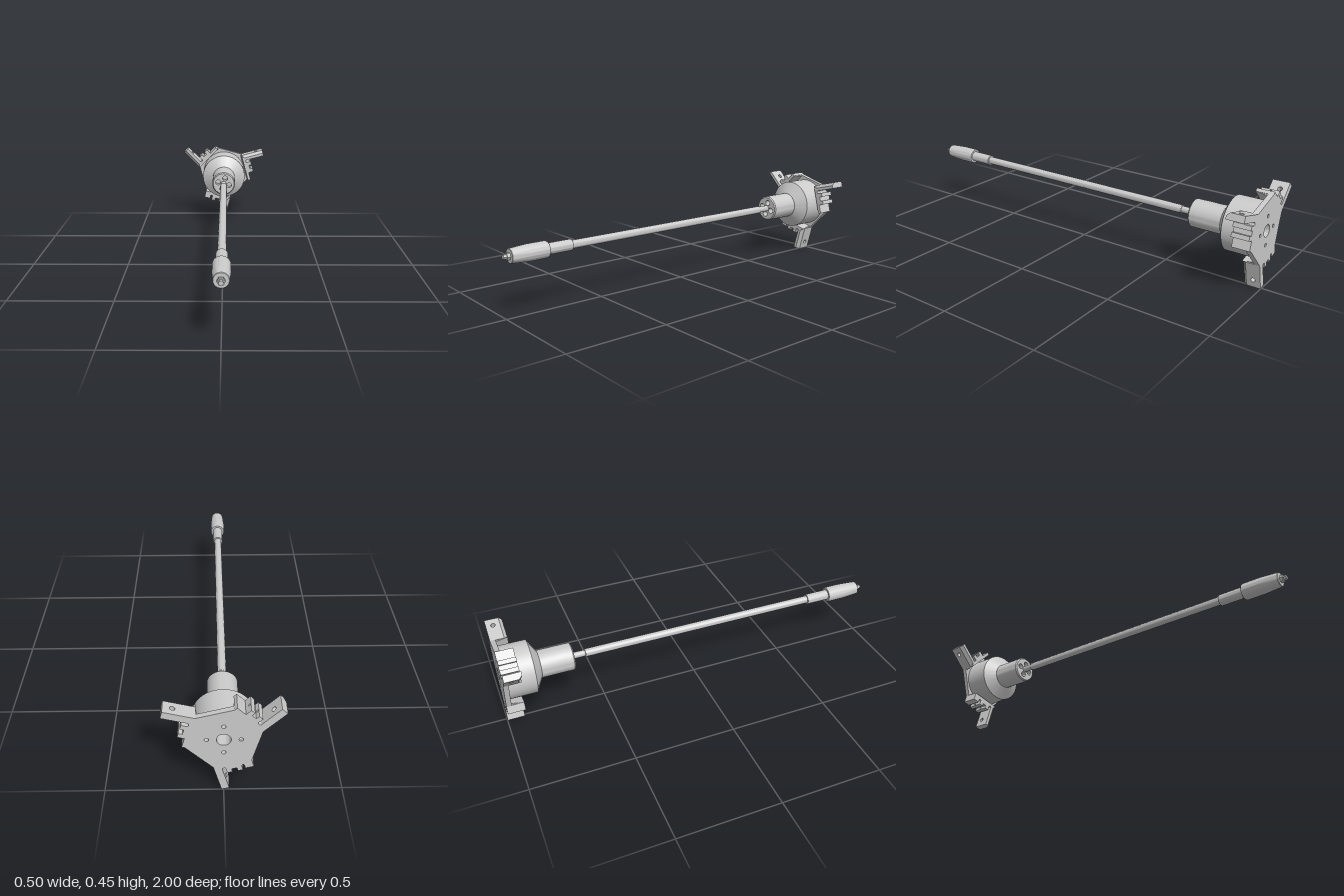
import * as THREE from 'three';
import { toCreasedNormals } from 'three/addons/utils/BufferGeometryUtils.js';

const BACK = -1, PLATE = -0.975, FRONT = -0.915;
const RAD = Math.PI / 180;
const grey = new THREE.MeshStandardMaterial({ color: 0xcccccc, side: THREE.DoubleSide });

function add(parent, name, geometry) {
  const mesh = new THREE.Mesh(toCreasedNormals(geometry, 0.5), grey);
  mesh.name = name;
  parent.add(mesh);
  return mesh;
}

// Turned part along z, from [radius, z] points
function turned(parent, name, profile, sides = 48) {
  const g = new THREE.LatheGeometry(profile.map(([r, z]) => new THREE.Vector2(r, z)), sides);
  return add(parent, name, g.rotateX(Math.PI / 2));
}

function shapeOf(points) {
  return new THREE.Shape(points.map(([x, y]) => new THREE.Vector2(x, y)));
}

function drill(shape, x, y, r) {
  shape.holes.push(new THREE.Path().absarc(x, y, r, 0, Math.PI * 2, true));
}

function extrude(shape, depth) {
  return new THREE.ExtrudeGeometry(shape, { depth, bevelEnabled: false, curveSegments: 16 });
}

// Profile in (outward, z), extruded sideways between v0 and v1
function sideways(shape, v0, v1) {
  return extrude(shape, v1 - v0).rotateX(Math.PI / 2).translate(0, v1, 0);
}

// Bracket on one side of the plate: x outward, y along the side
function makeBracket(extraTooth) {
  const bracket = new THREE.Group();
  bracket.name = 'sideBracket';

  // Wall strip with rounded notches
  const s = new THREE.Shape();
  s.moveTo(0.138, -0.081);
  if (extraTooth) {
    s.lineTo(0.179, -0.081);
    s.lineTo(0.179, -0.045);
    s.lineTo(0.163, -0.045);
    s.quadraticCurveTo(0.157, -0.045, 0.157, -0.0395);
    s.quadraticCurveTo(0.157, -0.033, 0.163, -0.033);
  } else {
    s.lineTo(0.155, -0.081);
    s.lineTo(0.155, -0.033);
  }
  s.lineTo(0.168, -0.033);
  s.lineTo(0.168, 0.033);
  s.lineTo(0.161, 0.033);
  s.quadraticCurveTo(0.155, 0.033, 0.155, 0.041);
  s.quadraticCurveTo(0.155, 0.049, 0.161, 0.049);
  s.lineTo(0.161, 0.06);
  s.lineTo(0.138, 0.081);
  add(bracket, 'combWall', extrude(s, FRONT - BACK).translate(0, 0, BACK));

  // Drilled teeth
  for (const v of [-0.033, 0.012]) {
    const tooth = shapeOf([[0.168, BACK], [0.185, BACK], [0.185, FRONT], [0.168, FRONT]]);
    drill(tooth, 0.1765, -0.96, 0.005);
    add(bracket, 'combTooth', sideways(tooth, v, v + 0.0215));
  }

  // Sloped inner face of the wall
  const slope = shapeOf([[0.13, PLATE], [0.1407, PLATE], [0.1407, FRONT]]);
  add(bracket, 'wallSlope', sideways(slope, -0.078, 0.078));

  // Arm in two halves; the outer half has a bevelled front
  for (const outer of [false, true]) {
    const arm = shapeOf([[0.138, BACK], [0.273, BACK], [0.273, FRONT], [0.138, FRONT]]);
    drill(arm, 0.232, -0.965, 0.011);
    const v0 = outer ? 0.0655 : 0.049, v1 = v0 + 0.0165;
    const g = sideways(arm, v0, v1);
    const p = g.attributes.position;
    for (let i = 0; outer && i < p.count; i++) {
      if (p.getY(i) > v1 - 0.001 && p.getZ(i) > FRONT - 0.001) p.setZ(i, FRONT - 0.0165);
    }
    g.computeVertexNormals();
    add(bracket, outer ? 'armBevelHalf' : 'armFlatHalf', g);
  }
  return bracket;
}

export function createModel() {
  const model = new THREE.Group();
  model.name = 'model';
  const core = new THREE.Group();
  core.name = 'spindleAssembly';
  core.position.y = 0.286;
  model.add(core);

  // Hexagonal back plate with a bore and four screw holes
  const hex = [];
  for (let i = 0; i < 6; i++) {
    const a = (45 + 60 * i) * RAD;
    hex.push([0.1625 * Math.cos(a), 0.1625 * Math.sin(a)]);
  }
  const plate = shapeOf(hex);
  drill(plate, 0, 0, 0.03);
  for (let i = 0; i < 4; i++) {
    drill(plate, 0.07 * Math.cos(i * Math.PI / 2), 0.07 * Math.sin(i * Math.PI / 2), 0.009);
  }
  add(core, 'backPlate', extrude(plate, PLATE - BACK).translate(0, 0, BACK));

  // Three brackets around the plate
  for (const angle of [15, 135, -105]) {
    const bracket = makeBracket(angle === -105);
    bracket.rotation.z = angle * RAD;
    core.add(bracket);
  }

  // Body with a blind bore, tapering to the collar
  turned(core, 'body', [[0, -0.9], [0.03, -0.9], [0.03, PLATE], [0.13, PLATE],
    [0.13, -0.842], [0.068, -0.805], [0, -0.805]], 64);

  // Collar with four holes in its front end
  turned(core, 'collar', [[0, -0.81], [0.064, -0.81], [0.068, -0.803], [0.068, -0.675], [0, -0.675]]);
  const end = new THREE.Shape().absarc(0, 0, 0.0625, 0, Math.PI * 2);
  for (let i = 0; i < 4; i++) {
    const a = (75 + 90 * i) * RAD;
    drill(end, 0.034 * Math.cos(a), 0.034 * Math.sin(a), 0.015);
  }
  add(core, 'collarEnd', extrude(end, 0.035).translate(0, 0, -0.675));
  turned(core, 'collarRim', [[0.0625, -0.675], [0.068, -0.675], [0.068, -0.646], [0.0625, -0.64]]);

  // Shaft and long tube
  turned(core, 'innerShaft', [[0, -0.65], [0.016, -0.65], [0.016, -0.57], [0, -0.57]], 24);
  turned(core, 'longTube', [[0, -0.578], [0.018, -0.578], [0.02, -0.575], [0.02, 0.67], [0, 0.67]], 32);

  // Sleeve and tapered nose
  turned(core, 'sleeve', [[0, 0.66], [0.027, 0.66], [0.027, 0.8], [0, 0.8]], 32);
  turned(core, 'nose', [[0, 0.785], [0.037, 0.785], [0.04, 0.79], [0.04, 0.88],
    [0.034, 0.968], [0.032, 0.97], [0, 0.97]]);

  // Hexagonal tip
  turned(core, 'hexNut', [[0, 0.965], [0.018, 0.965], [0.018, 0.985], [0, 0.985]], 6)
    .rotation.z = Math.PI / 6;
  turned(core, 'hexTip', [[0, 0.98], [0.013, 0.98], [0.011, 1], [0, 1]], 6)
    .rotation.z = Math.PI / 6;

  return model;
}
